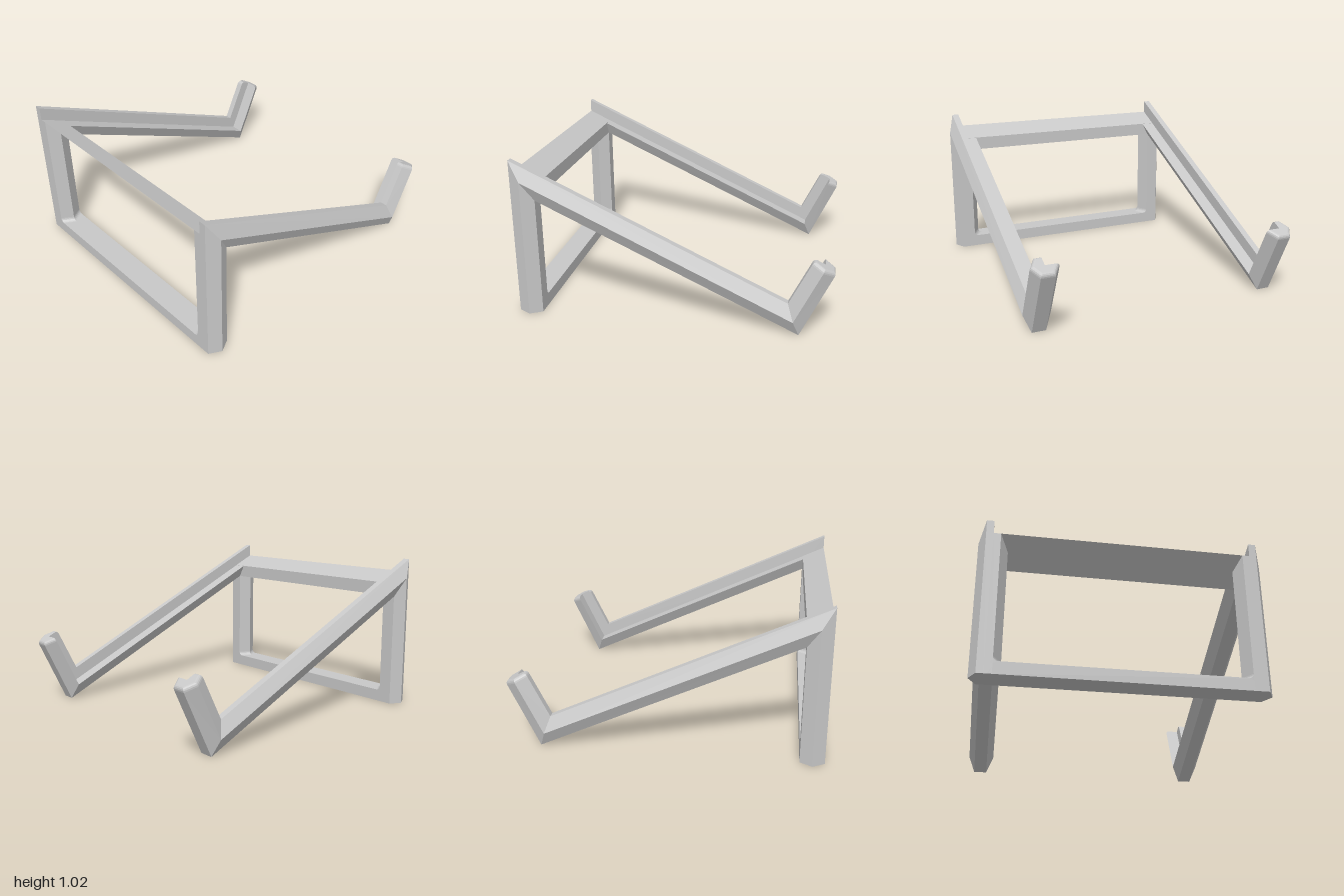
import * as THREE from 'three';

// Loft a solid through rings of [x, y, z]; side = -1 mirrors it in z.
function loft(rings, side = 1) {
  const pos = [];
  const tri = (a, b, c) => {
    const order = side > 0 ? [a, b, c] : [a, c, b];
    for (const p of order) pos.push(p[0], p[1], p[2] * side);
  };
  const n = rings[0].length;
  for (let r = 0; r < rings.length - 1; r++) {
    const a = rings[r], b = rings[r + 1];
    for (let i = 0; i < n; i++) {
      const j = (i + 1) % n;
      tri(a[i], a[j], b[j]);
      tri(a[i], b[j], b[i]);
    }
  }
  const first = rings[0], last = rings[rings.length - 1];
  for (let i = 1; i < n - 1; i++) {
    tri(first[0], first[i + 1], first[i]);
    tri(last[0], last[i], last[i + 1]);
  }
  const g = new THREE.BufferGeometry();
  g.setAttribute('position', new THREE.Float32BufferAttribute(pos, 3));
  g.computeVertexNormals();
  return g;
}

// Sections as [z, u], where u runs across the bar from one edge line to the other.
const OUTER = [[0.8, 0], [0.845, 0], [0.888, 0.5], [0.845, 1], [0.8, 1]];
const SHELF = [[0.8, 0.5], [0.8, 1], [0.755, 1], [0.708, 0.5]];
const LEG_INNER = [[0.8, 1], [0.755, 1], [0.708, 0.5], [0.755, 0], [0.8, 0]];

// Mitred stations: edge points at u = 0 and u = 1.
const FOOT = [[-1, 0], [-0.845, 0]];
const ELBOW = [[-1, 1.02], [-0.845, 0.77]];
const BEND = [[0.73, 0.21], [0.803, 0]];
const TIP = [[0.872, 0.503], [1.007, 0.437]];

// Place a section at a station, optionally shrunk about its centre line.
const ring = (section, [p, q], s = 1) => section.map(([z, u]) => {
  const v = 0.5 + (u - 0.5) * s;
  return [p[0] + (q[0] - p[0]) * v, p[1] + (q[1] - p[1]) * v, 0.8 + (z - 0.8) * s];
});

// Rounded end of the hook.
function tipRings(section) {
  const rad = 0.026, out = [];
  for (let i = 0; i <= 4; i++) {
    const a = (i / 4) * Math.PI / 2;
    const back = rad * (1 - Math.sin(a));
    const station = TIP.map(([x, y]) => [x - 0.42 * back, y - 0.907 * back]);
    out.push(ring(section, station, 1 - 0.27 * (1 - Math.cos(a))));
  }
  return out;
}

export function createModel() {
  const group = new THREE.Group();
  const grey = new THREE.MeshStandardMaterial({ color: 0xc8c8c8 });
  grey.name = 'light grey';
  const add = (name, geometry) => {
    const m = new THREE.Mesh(geometry, grey);
    m.name = name;
    group.add(m);
    return m;
  };

  for (const side of [1, -1]) {
    const label = side > 0 ? 'front' : 'back';

    // Outer half: leg, sloping arm and hook in one sweep
    add(label + 'OuterRail', loft([
      ring(OUTER, FOOT), ring(OUTER, ELBOW), ring(OUTER, BEND), ...tipRings(OUTER),
    ], side));

    // Lower inner half of arm and hook, forming the shelf
    add(label + 'ArmShelf', loft([
      ring(SHELF, ELBOW), ring(SHELF, BEND), ...tipRings(SHELF),
    ], side));

    // Inner half of the leg, cut off at the shelf plane
    const legTop = { 0: 0.932, 0.5: 0.895, 1: 0.77 };
    add(label + 'LegInner', loft([
      ring(LEG_INNER, FOOT),
      LEG_INNER.map(([z, u]) => [-1 + 0.155 * u, legTop[u], z]),
    ], side));

    // Fillet between leg and bottom rail, following the leg's bevels
    const r = 0.03;
    add(label + 'Fillet', loft([[-1, 0.755], [-0.9225, 0.708], [-0.845, 0.755]].map(([x, c]) => {
      const pts = [[x, 0.06, c + 0.015]];
      for (let i = 0; i <= 5; i++) {
        const a = (i / 5) * Math.PI / 2;
        pts.push([x, 0.08 + r - r * Math.cos(a), c - r + r * Math.sin(a)]);
      }
      return pts;
    }), side));
  }

  // Bottom rail
  const rail = add('bottomRail', new THREE.BoxGeometry(0.155, 0.08, 1.6));
  rail.position.set(-0.9225, 0.04, 0);

  // Wedge-shaped top bar, its upper face level with the arm shelves
  const profile = [[-1, 0.932], [-0.845, 0.77], [-0.845, 0.86]];
  add('topBar', loft([-0.8, 0.8].map((z) => profile.map(([x, y]) => [x, y, z]))));

  return group;
}
